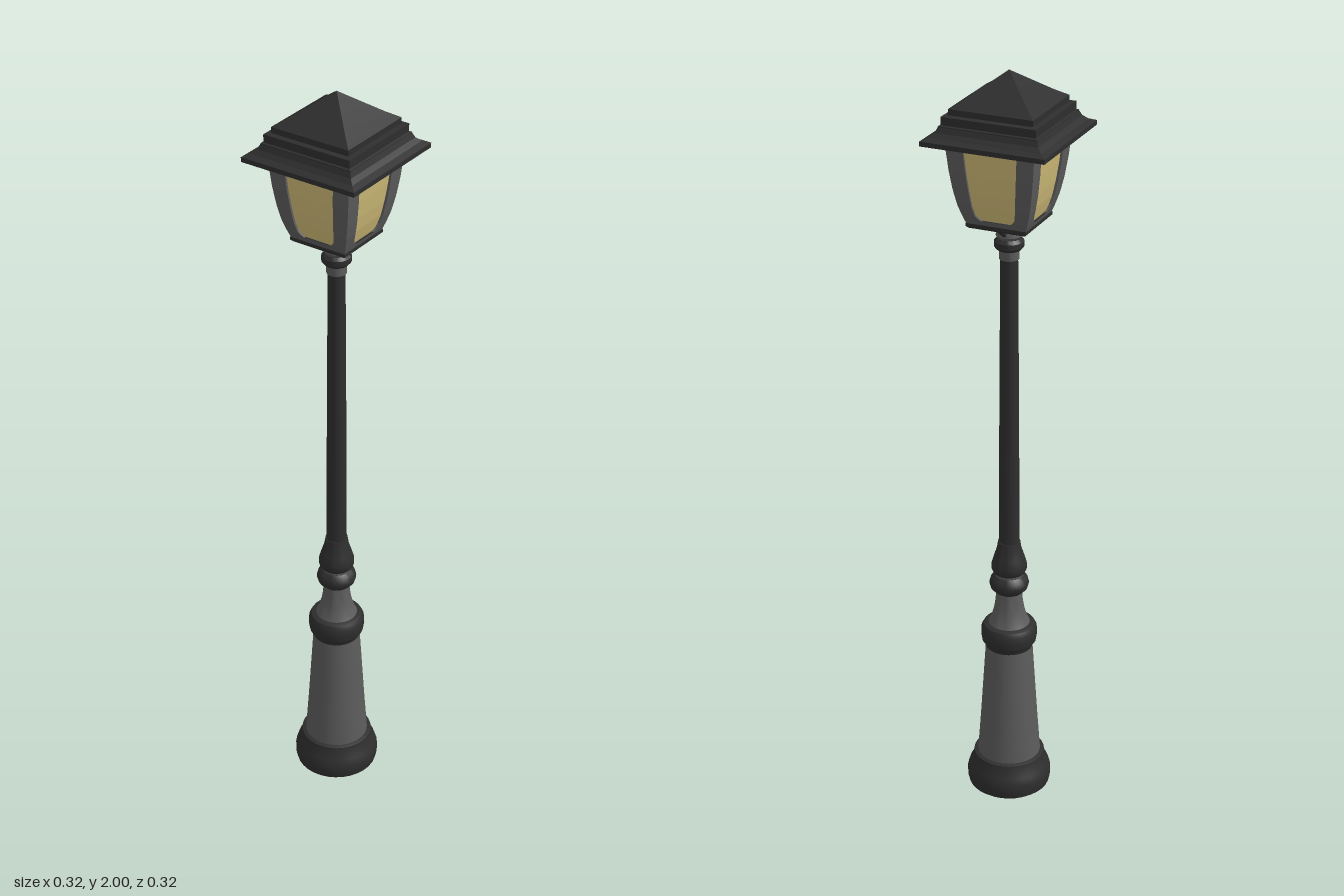
import * as THREE from 'three';
import { toCreasedNormals } from 'three/addons/utils/BufferGeometryUtils.js';
import { ParametricGeometry } from 'three/addons/geometries/ParametricGeometry.js';

const material = (name, color, side = THREE.FrontSide) => {
  const m = new THREE.MeshStandardMaterial({ color, side });
  m.name = name;
  return m;
};

export function createModel() {
  const iron = material('dark iron', 0x2e2e2e);
  const grey = material('grey metal', 0x5c5c5c);
  const frameGrey = material('grey frame', 0x5c5c5c, THREE.DoubleSide);
  const glass = material('amber glass', 0xcdb976, THREE.DoubleSide);
  const model = new THREE.Group();
  model.name = 'streetLamp';

  function add(parent, name, geometry, mat) {
    const mesh = new THREE.Mesh(geometry, mat);
    mesh.name = name;
    parent.add(mesh);
    return mesh;
  }

  // Turned part from [radius, height] pairs
  function turned(name, profile, mat, sides = 32) {
    const points = profile.map(([r, y]) => new THREE.Vector2(r, y));
    return add(model, name, toCreasedNormals(new THREE.LatheGeometry(points, sides), 0.6), mat);
  }

  // Square stepped part from [half width, height] pairs
  function squared(name, profile, mat) {
    const points = profile.map(([h, y]) => new THREE.Vector2(h * Math.SQRT2, y));
    const geometry = new THREE.LatheGeometry(points, 4).rotateY(Math.PI / 4);
    return add(model, name, toCreasedNormals(geometry, 0.3), mat);
  }

  // Base and post, from the ground up
  turned('baseFoot', [[0, 0], [0.098, 0], [0.108, 0.008], [0.112, 0.025], [0.112, 0.045],
    [0.106, 0.065], [0.098, 0.08], [0.094, 0.1], [0.08, 0.104], [0, 0.104]], iron);
  turned('lowerColumn', [[0.084, 0.1], [0.076, 0.21], [0.069, 0.32], [0.062, 0.43]], grey);
  turned('columnCollar', [[0, 0.42], [0.06, 0.42], [0.064, 0.44], [0.071, 0.447], [0.074, 0.465],
    [0.073, 0.485], [0.067, 0.496], [0.055, 0.5], [0, 0.5]], iron);
  turned('upperColumn', [[0.056, 0.497], [0.047, 0.515], [0.04, 0.54], [0.036, 0.565], [0.033, 0.6]], grey);
  turned('ringCollar', [[0, 0.592], [0.036, 0.592], [0.048, 0.604], [0.052, 0.618],
    [0.048, 0.632], [0.038, 0.642], [0, 0.642]], iron);
  turned('ringNeck', [[0.037, 0.638], [0.037, 0.656]], grey);
  turned('postBell', [[0, 0.65], [0.041, 0.65], [0.046, 0.66], [0.046, 0.675], [0.04, 0.695],
    [0.032, 0.72], [0.029, 0.74], [0, 0.74]], iron);
  turned('post', [[0.027, 0.73], [0.025, 1.1], [0.022, 1.54]], iron, 16);
  turned('postNeck', [[0, 1.525], [0.025, 1.525], [0.025, 1.555], [0, 1.555]], grey);
  turned('topRing', [[0, 1.55], [0.03, 1.55], [0.037, 1.558], [0.037, 1.572], [0.03, 1.58], [0, 1.58]], iron);
  turned('topCup', [[0.026, 1.578], [0.033, 1.587], [0.031, 1.598], [0, 1.602]], grey);

  // Curved lantern supports
  const curve = new THREE.CatmullRomCurve3([[0.022, 1.59], [0.036, 1.602], [0.052, 1.613], [0.062, 1.63]]
    .map(([x, y]) => new THREE.Vector3(x, y, 0)));
  for (let i = 0; i < 4; i++) {
    add(model, 'support', new THREE.TubeGeometry(curve, 8, 0.007, 6), iron).rotation.y = i * Math.PI / 2;
  }
  squared('lanternFloor', [[0, 1.618], [0.073, 1.618], [0.08, 1.624], [0.08, 1.632], [0, 1.632]], iron);

  // Lantern body: half width follows a bowed profile, window narrows to a rounded sill
  const low = 1.628, sill = 1.643, high = 1.845;
  const interpolate = (table, y) => {
    let i = 1;
    while (i < table.length - 1 && y > table[i][0]) i++;
    const [a, b] = [table[i - 1], table[i]];
    return THREE.MathUtils.lerp(a[1], b[1], THREE.MathUtils.clamp((y - a[0]) / (b[0] - a[0]), 0, 1));
  };
  const bow = y => interpolate([[low, 0.077], [1.65, 0.085], [1.68, 0.094], [1.72, 0.102],
    [1.77, 0.109], [high, 0.116]], y);
  const pane = y => interpolate([[sill, 0.036], [1.648, 0.045], [1.658, 0.052], [1.68, 0.057],
    [1.75, 0.064], [high, 0.071]], y);
  const inset = 0.006;

  // Curved strip between two edges, each edge giving [x, depth] at a height
  const strip = (edgeA, edgeB, y0, y1) => new ParametricGeometry((u, v, target) => {
    const y = THREE.MathUtils.lerp(y0, y1, v * v * 0.6 + v * 0.4);
    const [xa, da] = edgeA(y), [xb, db] = edgeB(y);
    target.set(THREE.MathUtils.lerp(xa, xb, u), y, bow(y) - THREE.MathUtils.lerp(da, db, u));
  }, 1, 20);

  for (let i = 0; i < 4; i++) {
    const side = new THREE.Group();
    side.name = 'lanternSide';
    side.rotation.y = i * Math.PI / 2;
    model.add(side);
    const outer = s => y => [s * bow(y), 0];
    const inner = s => y => [s * pane(y), 0];
    const recessed = s => y => [s * pane(y), inset];
    add(side, 'frameSill', strip(outer(-1), outer(1), low, sill), frameGrey);
    add(side, 'frameLeft', strip(inner(1), outer(1), sill, high), frameGrey);
    add(side, 'frameRight', strip(outer(-1), inner(-1), sill, high), frameGrey);
    add(side, 'revealLeft', strip(recessed(1), inner(1), sill, high), frameGrey);
    add(side, 'revealRight', strip(inner(-1), recessed(-1), sill, high), frameGrey);
    add(side, 'windowPane', strip(recessed(-1), recessed(1), sill, high), glass);
  }

  // Stepped square roof with a concave eave and pyramid cap
  squared('roof', [[0, 1.838], [0.16, 1.838], [0.16, 1.85], [0.144, 1.857], [0.133, 1.867],
    [0.127, 1.88], [0.127, 1.882], [0.122, 1.884], [0.122, 1.904], [0.109, 1.906],
    [0.109, 1.921], [0.08, 1.94], [0, 2]], iron);

  return model;
}
